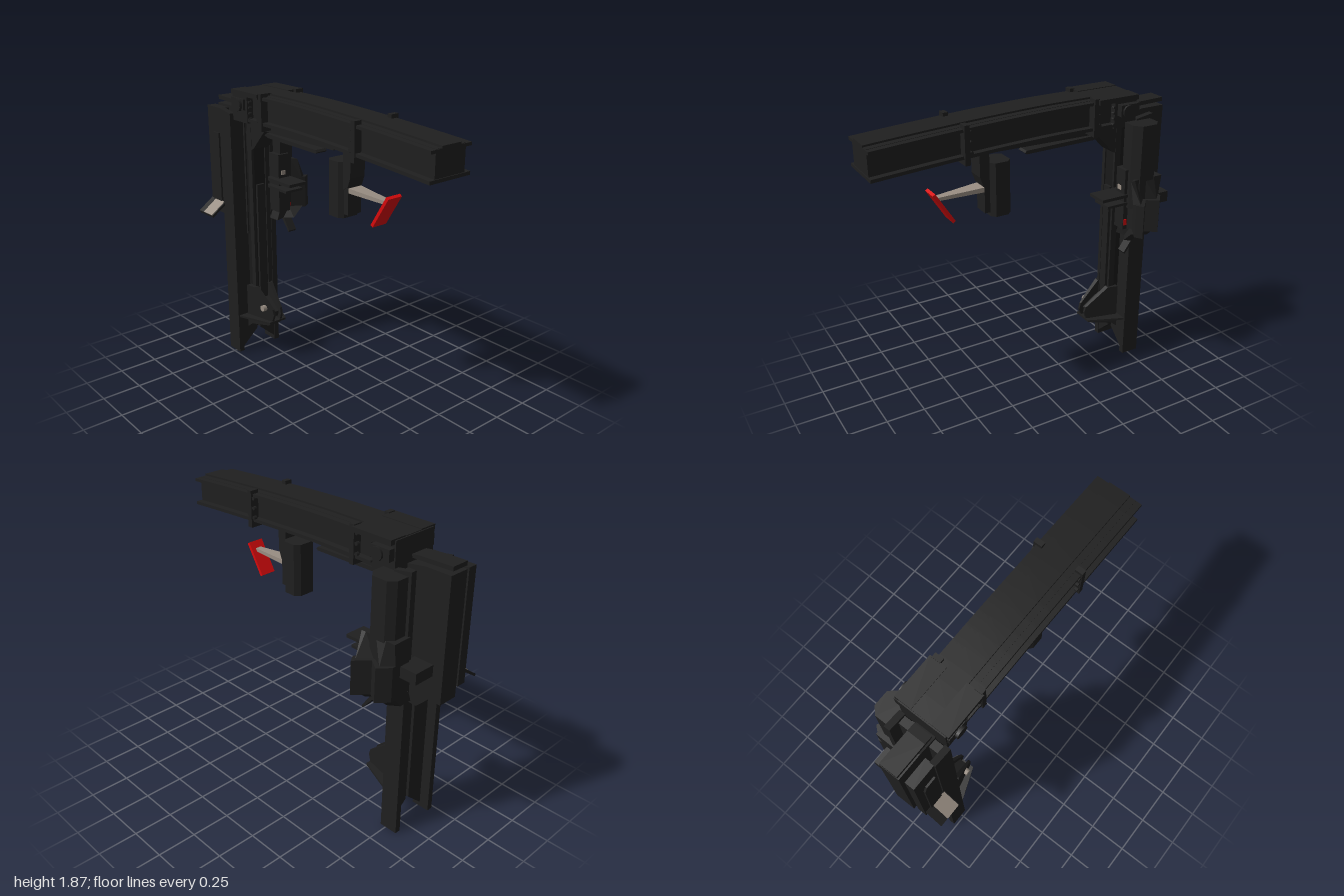
import * as THREE from 'three';

const mat = (name, color) => {
  const m = new THREE.MeshStandardMaterial({ color });
  m.name = name;
  return m;
};

export function createModel() {
  const root = new THREE.Group();
  const dark = mat('blackened steel', 0x1f1f1f);
  const shade = mat('dark groove steel', 0x191919);
  const pale = mat('bare metal', 0x988d82);
  const red = mat('red paint', 0xd80a0c);

  const add = (name, geo, m = dark) => {
    const mesh = new THREE.Mesh(geo, m);
    mesh.name = name;
    root.add(mesh);
    return mesh;
  };
  // box from its min and max limits
  const box = (name, x0, x1, y0, y1, z0, z1, m) => {
    const g = new THREE.BoxGeometry(x1 - x0, y1 - y0, z1 - z0);
    g.translate((x0 + x1) / 2, (y0 + y1) / 2, (z0 + z1) / 2);
    return add(name, g, m);
  };
  const extrude = (pts, depth) => new THREE.ExtrudeGeometry(
    new THREE.Shape(pts.map(p => new THREE.Vector2(...p))), { depth, bevelEnabled: false });
  // side outline in x,y swept over z
  const prismZ = (name, pts, z0, z1, m) => add(name, extrude(pts, z1 - z0).translate(0, 0, z0), m);
  // outline in z,y swept over x
  const prismX = (name, pts, x0, x1, m) =>
    add(name, extrude(pts.map(([z, y]) => [-z, y]), x1 - x0).rotateY(Math.PI / 2).translate(x0, 0, 0), m);
  // plan outline in x,z swept over y
  const prismY = (name, pts, y0, y1, m) =>
    add(name, extrude(pts.map(([x, z]) => [x, -z]), y1 - y0).rotateX(-Math.PI / 2).translate(0, y0, 0), m);
  // move the z of each vertex by a rule
  const reshapeZ = (mesh, rule) => {
    const p = mesh.geometry.attributes.position;
    for (let i = 0; i < p.count; i++) p.setZ(i, rule(p.getX(i), p.getY(i), p.getZ(i)));
    mesh.geometry.computeVertexNormals();
  };
  const bolt = (x, y, z, r = 0.012) =>
    add('bolt', new THREE.CylinderGeometry(r, r, 0.02, 6).rotateX(Math.PI / 2).translate(x, y, z));

  // column: two outer posts with angled webs, and a narrower inner post
  const post = [[-0.83, 0], [-0.71, 0], [-0.71, 1.7], [-0.83, 1.72]];
  for (const s of [1, -1]) {
    const z = d => 0.06 + s * d;
    const span = (a, b) => [Math.min(z(a), z(b)), Math.max(z(a), z(b))];
    prismZ('columnFlange', post, ...span(0.132, 0.17));
    const web = [[z(0.133), 0.03], [z(0.012), 0.14], [z(0.012), 1.68], [z(0.133), 1.68]];
    prismX('columnWeb', s > 0 ? web : web.reverse(), -0.765, -0.715);
    box('columnInnerRib', -0.68, -0.64, 0.22, 1.66, ...span(0.045, 0.062));
  }
  box('columnCore', -0.72, -0.65, 0.2, 1.66, 0, 0.12, shade);
  box('columnRail', -0.68, -0.632, 0.36, 1.22, 0.03, 0.09);

  // beam: drooping box girder with top and bottom lips
  const droop = x => -0.055 * Math.max(0, (x + 0.2) / 1.2) ** 1.5;
  const beamPart = (name, x0, x1, y0, y1, z0, z1) => {
    const g = new THREE.BoxGeometry(x1 - x0, y1 - y0, z1 - z0, 16, 1, 1);
    g.translate((x0 + x1) / 2, (y0 + y1) / 2, (z0 + z1) / 2);
    const p = g.attributes.position;
    for (let i = 0; i < p.count; i++) p.setY(i, p.getY(i) + droop(p.getX(i)));
    g.computeVertexNormals();
    return add(name, g);
  };
  beamPart('beamCore', -0.7, 0.995, 1.68, 1.845, -0.06, 0.16);
  beamPart('beamBottomFlange', -0.7, 1, 1.67, 1.69, -0.1, 0.2);
  beamPart('beamTopFlange', -0.7, 1, 1.825, 1.843, -0.1, 0.2);
  beamPart('beamTopRidge', -0.7, 1, 1.843, 1.856, -0.02, 0.12);

  // collars around the beam
  for (const x of [-0.41, 0.44]) {
    const d = droop(x);
    for (const z of [[-0.115, -0.06], [0.16, 0.21]])
      box('beamCollar', x - 0.016, x + 0.016, 1.635 + d, 1.866 + d, ...z);
    box('collarBottom', x - 0.016, x + 0.016, 1.635 + d, 1.68 + d, -0.11, 0.21);
    for (const z of [-0.1, 0.197]) for (const y of [1.7, 1.76, 1.82]) bolt(x - 0.028, y + d, z);
  }

  // head joint between column and beam
  box('headBlock', -0.708, -0.55, 1.66, 1.852, -0.1, 0.205);
  box('headPlate', -0.7, -0.57, 1.74, 1.81, -0.14, 0.22);
  for (const z of [-0.075, 0.165]) box('headCap', -0.7, -0.42, 1.83, 1.86, z - 0.055, z + 0.055);
  add('headPin', new THREE.CylinderGeometry(0.04, 0.04, 0.39, 10).rotateX(Math.PI / 2).translate(-0.62, 1.77, 0.042));
  for (const z of [-0.1, 0.19]) for (let i = 0; i < 5; i++) bolt(-0.54, 1.69 + i * 0.035, z, 0.008);

  // corner gusset and rails below the beam
  prismZ('cornerGusset', [[-0.69, 1.44], [-0.62, 1.47], [-0.5, 1.6], [-0.46, 1.67], [-0.7, 1.68]], 0.0, 0.12);
  prismZ('underRail', [[-0.62, 1.615], [0.2, 1.625], [0.21, 1.67], [-0.62, 1.68]], -0.02, 0.14);
  prismZ('underBar', [[-0.52, 1.575], [-0.48, 1.565], [-0.01, 1.558], [0, 1.567], [-0.01, 1.58], [-0.5, 1.592]], 0.02, 0.1);

  // hanging box with arm and red paddle
  prismY('hangingBox', [[0.115, 0], [0.145, -0.03], [0.225, -0.03], [0.25, 0], [0.25, 0.1], [0.225, 0.125], [0.145, 0.125], [0.115, 0.1]], 1.225, 1.56);
  box('hangerPlate', 0.245, 0.285, 1.25, 1.56, 0, 0.1);
  prismZ('hangerBracket', [[0.25, 1.4], [0.29, 1.42], [0.312, 1.48], [0.312, 1.67], [0.25, 1.67]], 0, 0.11);
  reshapeZ(prismZ('paddleArm', [[0.27, 1.384], [0.575, 1.377], [0.575, 1.397], [0.27, 1.414]], 0, 0.1, pale),
    (x, y, z) => x > 0.5 ? 0.05 + (z - 0.05) * 0.4 : z);
  const paddle = box('redPaddle', -0.01, 0.01, -0.113, 0.113, -0.052, 0.052, red);
  paddle.position.set(0.546, 1.336, 0.05);
  paddle.rotation.z = -0.56;

  // cabinet behind the column: centre and front sections with a back lug
  prismZ('cabinetCentre', [[-0.995, 0.95], [-0.91, 0.95], [-0.83, 0.87], [-0.7, 0.87], [-0.7, 1.7], [-0.83, 1.72], [-0.995, 1.72]], 0, 0.13);
  prismZ('cabinetTopBar', [[-0.995, 1.742], [-0.73, 1.735], [-0.725, 1.755], [-0.78, 1.762], [-0.995, 1.768]], 0.01, 0.125);
  box('cabinetFront', -0.985, -0.825, 1.0, 1.715, 0.16, 0.22);
  box('cabinetLink', -0.97, -0.93, 1.05, 1.5, 0.12, 0.17);
  prismZ('cabinetFrontPanel', [[-0.94, 1.08], [-0.85, 1.08], [-0.85, 1.55], [-0.92, 1.55], [-0.94, 1.5]], 0.22, 0.232);
  prismX('cabinetFlap', [[0.215, 1.07], [0.225, 1.085], [0.33, 1.01], [0.325, 0.995]], -0.98, -0.82);
  prismX('flapPlate', [[0.2275, 1.086], [0.2295, 1.088], [0.332, 1.0145], [0.33, 1.011]], -0.925, -0.825, pale);
  box('cabinetBackLug', -0.95, -0.82, 1.13, 1.2, -0.17, -0.03);

  // back pod: tall housing above a forked body
  prismY('podHousing', [[-0.81, -0.1], [-0.81, -0.19], [-0.77, -0.23], [-0.67, -0.23], [-0.63, -0.18], [-0.63, -0.1]], 1.15, 1.69);
  const fork = [[-0.84, -0.1], [-0.84, -0.23], [-0.78, -0.3], [-0.71, -0.25], [-0.635, -0.335], [-0.605, -0.29], [-0.65, -0.2], [-0.63, -0.1]];
  prismY('podBody', fork, 1.0, 1.215);
  reshapeZ(prismY('podShoulder', fork, 1.21, 1.35), (x, y, z) => y > 1.3 ? Math.max(z, -0.225) : z * 0.9);
  reshapeZ(prismY('podBase', fork, 0.94, 1.01), (x, y, z) => y < 1 ? z * 0.65 : z * 0.9);
  prismZ('podStrut', [[-0.74, 1.0], [-0.607, 0.845], [-0.6, 0.857], [-0.715, 1.02]], -0.2, -0.14);

  // small shelves on the inner face of the column
  box('upperShelf', -0.7, -0.44, 1.22, 1.24, -0.17, -0.03);
  box('lowerShelf', -0.7, -0.48, 1.172, 1.188, -0.17, -0.03);
  box('shelfMount', -0.72, -0.61, 1.0, 1.4, -0.16, -0.07);
  box('shelfTag', -0.62, -0.606, 1.26, 1.29, -0.125, -0.09, pale);
  box('redTag', -0.635, -0.615, 1.03, 1.07, -0.166, -0.159, red);

  // foot bracket: hood and plate narrowing toward the tip
  const narrow = (x, y, z) => 0.065 + (z - 0.065) * (1 - 0.6 * (x + 0.71) / 0.24);
  for (const z of [-0.03, 0.12])
    reshapeZ(prismZ('footHood', [[-0.7, 0.27], [-0.49, 0.27], [-0.468, 0.33], [-0.48, 0.37], [-0.63, 0.5], [-0.7, 0.5]], z, z + 0.04), narrow);
  reshapeZ(prismZ('footCore', [[-0.7, 0.29], [-0.51, 0.3], [-0.5, 0.34], [-0.7, 0.44]], 0.01, 0.12), narrow);
  reshapeZ(box('footPlate', -0.71, -0.48, 0.268, 0.282, -0.1, 0.22), narrow);
  reshapeZ(prismZ('footTaper', [[-0.71, 0.18], [-0.67, 0.21], [-0.52, 0.24], [-0.48, 0.27], [-0.71, 0.27]], -0.02, 0.15), narrow);
  add('footBolt', new THREE.CylinderGeometry(0.022, 0.022, 0.04, 8).rotateX(Math.PI / 2).translate(-0.545, 0.37, 0.125), pale);

  return root;
}
